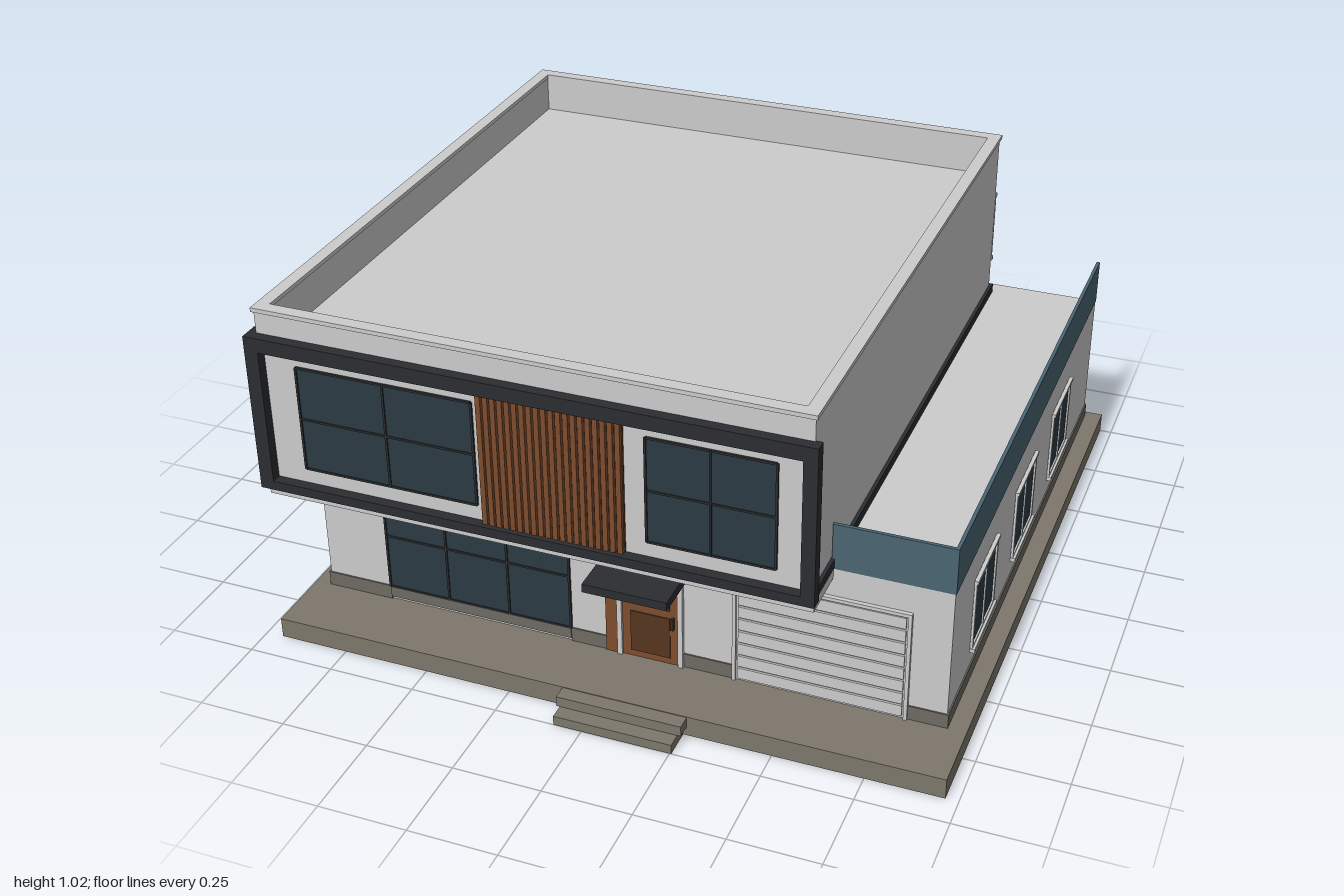
import * as THREE from 'three';

const paint = (color) => new THREE.MeshStandardMaterial({ color });
const wall = paint(0xcccccc);
const stone = paint(0x7d776c);
const plinthMat = paint(0x6e6962);
const black = paint(0x2b2d30);
const glass = paint(0x2a3a42);
const blueGlass = paint(0x4a6572);
const wood = paint(0x7d4c2e);
const darkWood = paint(0x54351f);

// Box given by its extents on each axis
function box(parent, name, mat, x0, x1, y0, y1, z0, z1) {
  const mesh = new THREE.Mesh(new THREE.BoxGeometry(x1 - x0, y1 - y0, z1 - z0), mat);
  mesh.position.set((x0 + x1) / 2, (y0 + y1) / 2, (z0 + z1) / 2);
  mesh.name = name;
  parent.add(mesh);
  return mesh;
}

function group(parent, name) {
  const g = new THREE.Group();
  g.name = name;
  parent.add(g);
  return g;
}

// Small two-pane window with frame, head and sill, facing +z before turning
function smallWindow(parent, x, y, z, turn) {
  const g = group(parent, 'window');
  const w = 0.112, h = 0.104;
  box(g, 'windowGlass', glass, -w, w, -h, h, -0.002, 0.002);
  for (const s of [-1, 1]) {
    box(g, 'windowJamb', wall, s * w - 0.006, s * w + 0.006, -h, h, 0, 0.007);
    box(g, 'windowRail', wall, -w, w, s * h - 0.005, s * h + 0.005, 0, 0.007);
  }
  box(g, 'windowMullion', wall, -0.004, 0.004, -h, h, 0, 0.006);
  box(g, 'windowSill', wall, -w - 0.008, w + 0.008, -h - 0.012, -h, 0, 0.014);
  box(g, 'windowHead', wall, -w - 0.008, w + 0.008, h, h + 0.01, 0, 0.011);
  g.position.set(x, y, z);
  g.rotation.y = turn;
}

// Large glazed front window split into columns and rows
function largeWindow(parent, x0, x1, y0, y1, z, columns, rows) {
  const g = group(parent, 'largeWindow');
  box(g, 'largeGlass', glass, x0, x1, y0, y1, z - 0.002, z + 0.003);
  for (let i = 0; i <= columns; i++) {
    const x = x0 + ((x1 - x0) * i) / columns;
    box(g, 'verticalBar', black, x - 0.003, x + 0.003, y0, y1, z, z + 0.007);
  }
  for (let i = 0; i <= rows; i++) {
    const y = y0 + ((y1 - y0) * i) / rows;
    box(g, 'horizontalBar', black, x0, x1, y - 0.003, y + 0.003, z, z + 0.006);
  }
}

export function createModel() {
  const house = new THREE.Group();
  house.name = 'house';

  // Ground slab and entrance steps
  const ground = group(house, 'foundation');
  box(ground, 'slab', stone, -0.95, 0.965, 0, 0.06, -1, 0.915);
  box(ground, 'upperStep', stone, -0.09, 0.265, 0.028, 0.058, 0.915, 0.957);
  box(ground, 'lowerStep', stone, -0.08, 0.255, 0, 0.028, 0.915, 1);

  // Ground floor with plinth
  const lower = group(house, 'groundFloor');
  box(lower, 'lowerWalls', wall, -0.9, 0.91, 0.06, 0.48, -0.975, 0.715);
  const px = [[-0.904, -0.705], [-0.15, -0.045], [0.18, 0.32], [0.805, 0.914]];
  for (const [a, b] of px) box(lower, 'frontPlinth', plinthMat, a, b, 0.06, 0.103, 0.7, 0.719);
  box(lower, 'leftPlinth', plinthMat, 0.9, 0.914, 0.06, 0.103, -0.979, 0.719);
  box(lower, 'rightPlinth', plinthMat, -0.904, -0.89, 0.06, 0.103, -0.979, 0.719);
  box(lower, 'backPlinth', plinthMat, -0.904, 0.914, 0.06, 0.103, -0.979, -0.965);

  // Terrace balustrade on the side wing
  box(lower, 'sideBalustrade', blueGlass, 0.902, 0.912, 0.48, 0.615, -0.975, 0.715);
  box(lower, 'frontBalustrade', blueGlass, 0.585, 0.902, 0.48, 0.615, 0.705, 0.715);

  // Living room window
  largeWindow(lower, -0.705, -0.15, 0.105, 0.445, 0.717, 3, 2);
  box(lower, 'livingWindowBase', plinthMat, -0.705, -0.15, 0.07, 0.103, 0.7, 0.722);

  // Front door, side panel and canopy
  const door = group(house, 'entrance');
  box(door, 'woodSidePanel', wood, -0.045, -0.01, 0.06, 0.45, 0.7, 0.722);
  for (const x of [-0.01, 0.166]) box(door, 'doorJamb', wall, x, x + 0.014, 0.06, 0.45, 0.7, 0.728);
  box(door, 'doorHead', wall, -0.01, 0.18, 0.438, 0.45, 0.7, 0.728);
  box(door, 'doorLeaf', wood, 0.004, 0.166, 0.06, 0.438, 0.7, 0.72);
  for (const [a, b] of [[0.08, 0.21], [0.235, 0.385]]) {
    box(door, 'doorPanel', darkWood, 0.028, 0.142, a, b, 0.71, 0.723);
  }
  box(door, 'doorHandle', black, 0.148, 0.155, 0.18, 0.215, 0.72, 0.732);
  box(door, 'canopy', black, -0.02, 0.215, 0.39, 0.415, 0.71, 0.92);

  // Garage door with horizontal slats
  const garage = group(house, 'garageDoor');
  box(garage, 'garagePanel', wall, 0.32, 0.805, 0.06, 0.395, 0.7, 0.718);
  for (let i = 0; i < 8; i++) {
    const y = 0.068 + i * 0.04;
    box(garage, 'garageSlat', wall, 0.336, 0.79, y, y + 0.034, 0.71, 0.724);
  }
  for (const x of [0.32, 0.795]) box(garage, 'garageJamb', wall, x, x + 0.01, 0.06, 0.395, 0.71, 0.726);
  box(garage, 'garageHead', wall, 0.32, 0.805, 0.387, 0.397, 0.71, 0.727);

  // Upper floor, soffit and parapet around a sunken roof
  const upper = group(house, 'upperFloor');
  box(upper, 'soffit', wall, -0.96, 0.59, 0.45, 0.486, -0.915, 0.872);
  box(upper, 'upperWalls', wall, -0.945, 0.582, 0.48, 0.9, -0.905, 0.87);
  const parapet = (name, o, t, y0, y1) => {
    box(upper, name, wall, -0.945 - o, 0.582 + o, y0, y1, 0.87 - t, 0.87 + o);
    box(upper, name, wall, -0.945 - o, 0.582 + o, y0, y1, -0.905 - o, -0.905 + t);
    box(upper, name, wall, -0.945 - o, -0.945 + t, y0, y1, -0.905 + t, 0.87 - t);
    box(upper, name, wall, 0.582 - t, 0.582 + o, y0, y1, -0.905 + t, 0.87 - t);
  };
  parapet('parapet', 0, 0.028, 0.9, 1.008);
  parapet('parapetCap', 0.006, 0.031, 1.008, 1.02);

  // Black surround on the front and bands along the walls
  const trim = group(house, 'blackTrim');
  box(trim, 'frameTop', black, -0.968, 0.6, 0.903, 0.945, 0.865, 0.9);
  box(trim, 'frameBottom', black, -0.968, 0.6, 0.483, 0.51, 0.865, 0.9);
  box(trim, 'frameRight', black, -0.968, -0.928, 0.51, 0.903, 0.865, 0.9);
  box(trim, 'frameLeft', black, 0.562, 0.6, 0.51, 0.903, 0.865, 0.9);
  box(trim, 'rightUpperBand', black, -0.968, -0.94, 0.905, 0.945, -0.917, 0.87);
  box(trim, 'rightLowerBand', black, -0.968, -0.94, 0.483, 0.51, -0.917, 0.87);
  box(trim, 'backLowerBand', black, -0.968, 0.59, 0.483, 0.51, -0.917, -0.9);
  box(trim, 'leftLowerBand', black, 0.575, 0.592, 0.483, 0.51, -0.917, 0.87);

  // Upper front windows and slatted timber panel
  largeWindow(upper, -0.835, -0.33, 0.558, 0.865, 0.872, 2, 2);
  largeWindow(upper, 0.145, 0.49, 0.558, 0.865, 0.872, 2, 2);
  const timber = group(house, 'timberCladding');
  box(timber, 'timberBacking', darkWood, -0.315, 0.085, 0.51, 0.903, 0.86, 0.874);
  const slats = 20, pitch = 0.4 / slats;
  for (let i = 0; i < slats; i++) {
    const x = -0.315 + i * pitch;
    box(timber, 'timberSlat', wood, x + 0.003, x + pitch - 0.003, 0.51, 0.903, 0.87, 0.886);
  }

  // Side and back windows
  const windows = group(house, 'smallWindows');
  for (const z of [0.39, -0.06, -0.515]) {
    smallWindow(windows, 0.911, 0.272, z, Math.PI / 2);
    smallWindow(windows, -0.901, 0.272, z, -Math.PI / 2);
  }
  for (const z of [-0.66, -0.265, 0.13]) smallWindow(windows, -0.946, 0.712, z, -Math.PI / 2);
  for (const x of [-0.505, 0.005, 0.525]) smallWindow(windows, x, 0.272, -0.976, Math.PI);
  for (const x of [-0.31, 0.08, 0.465]) smallWindow(windows, x, 0.712, -0.906, Math.PI);

  return house;
}
